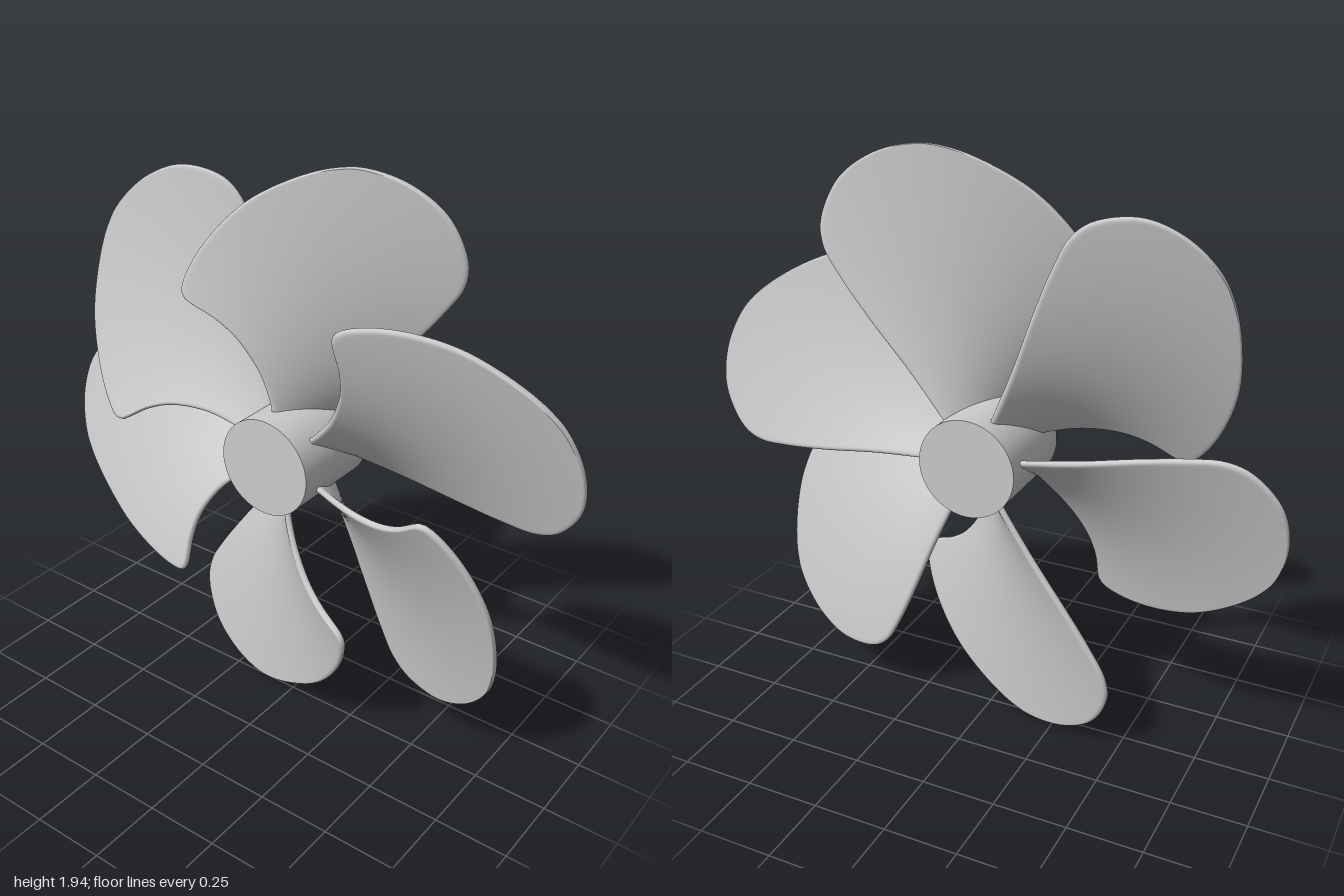
import * as THREE from 'three';

const PITCH = 0.258;                              // rise of the helical blade sheet per radian
const MID = THREE.MathUtils.degToRad(79);         // angle at which the sheet crosses z = 0
const HALF_THICK = 0.011;

// Blade outline as [radius, degrees]: leading root, swept corner, tip, trailing root
const OUTLINE = [
  [0.13, 98], [0.18, 97.5], [0.3, 101], [0.42, 107], [0.5, 112.5], [0.555, 117], [0.585, 118.8],
  [0.615, 118.6], [0.68, 113.4], [0.762, 105.2], [0.841, 96.8], [0.916, 87.5], [0.965, 81],
  [0.994, 75], [1.0, 67.7], [0.972, 60.4], [0.892, 53.6], [0.82, 51], [0.72, 50.2], [0.56, 50],
  [0.365, 50.8], [0.18, 51], [0.13, 51],
];

function bladeGeometry(rows = 72, cols = 36) {
  const outline = new THREE.CatmullRomCurve3(OUTLINE.map(([r, deg]) => {
    const a = THREE.MathUtils.degToRad(deg);
    return new THREE.Vector3(r * Math.cos(a), r * Math.sin(a), 0);
  }), false, 'centripetal');
  outline.arcLengthDivisions = 800;

  const positions = [], indices = [];
  const ring = cols * 2;
  for (let i = 0; i <= rows; i++) {
    // Chord between matching points on the leading and trailing edges
    const u = 0.5 * Math.sin((i / rows) * Math.PI / 2);
    const lead = outline.getPointAt(u), trail = outline.getPointAt(1 - u);
    const half = lead.distanceTo(trail) / 2;
    for (let j = 0; j < ring; j++) {
      const s = -Math.cos(Math.PI * j / cols);    // front face out, back face home
      const p = lead.clone().lerp(trail, (s + 1) / 2);
      const d = Math.min(half * (1 - Math.abs(s)) / HALF_THICK, 1);
      const h = HALF_THICK * Math.sqrt(Math.max(0, 1 - (1 - d) ** 2)) * (j < cols ? 1 : -1);
      const rr = p.x * p.x + p.y * p.y;
      const normal = new THREE.Vector3(PITCH * p.y / rr, -PITCH * p.x / rr, 1).normalize();
      p.z = PITCH * (Math.atan2(p.y, p.x) - MID);
      p.addScaledVector(normal, h);
      positions.push(p.x, p.y, p.z);
      if (i < rows) {
        const a = i * ring + j, b = i * ring + (j + 1) % ring;
        indices.push(a, b, a + ring, b, b + ring, a + ring);
      }
    }
  }
  const geo = new THREE.BufferGeometry();
  geo.setAttribute('position', new THREE.Float32BufferAttribute(positions, 3));
  geo.setIndex(indices);
  geo.computeVertexNormals();
  return geo;
}

export function createModel() {
  const group = new THREE.Group();
  group.name = 'propeller';
  const material = new THREE.MeshStandardMaterial({ color: 0xcccccc });
  const centreY = 0.972;

  // Hub: plain cylinder along z
  const hub = new THREE.Mesh(new THREE.CylinderGeometry(0.165, 0.165, 0.335, 96), material);
  hub.name = 'hub';
  hub.rotation.x = Math.PI / 2;
  hub.position.set(0, centreY, -0.0125);
  group.add(hub);

  // Six swept blades, slightly unevenly spaced around the hub
  const geo = bladeGeometry();
  [0, 61, 117.4, 184.2, 243.4, 303.9].forEach((deg, i) => {
    const blade = new THREE.Mesh(geo, material);
    blade.name = `blade${i + 1}`;
    blade.position.y = centreY;
    blade.rotation.z = THREE.MathUtils.degToRad(deg);
    group.add(blade);
  });
  return group;
}
